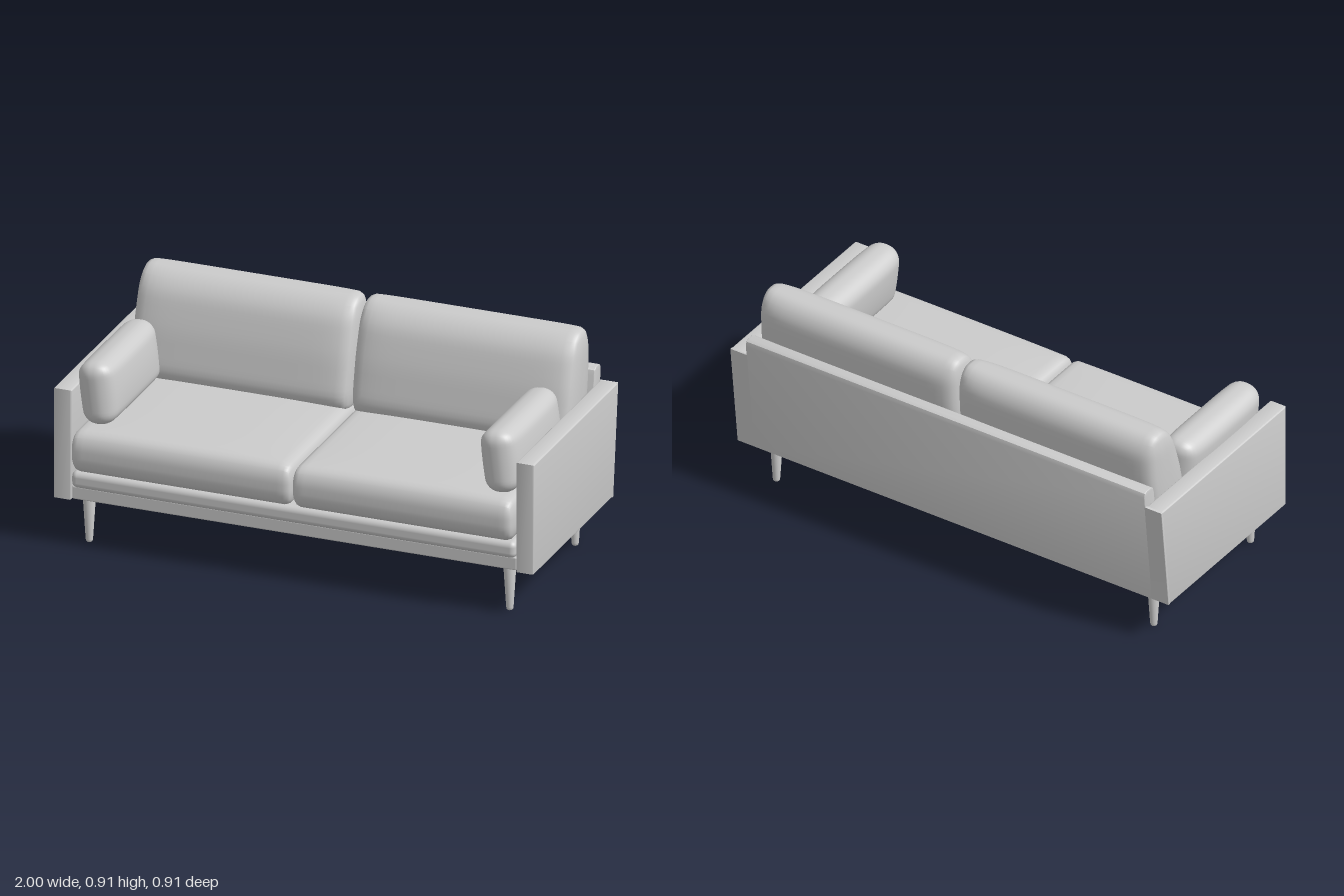
import * as THREE from 'three';
import { mergeVertices, toCreasedNormals } from 'three/addons/utils/BufferGeometryUtils.js';
import { RoundedBoxGeometry } from 'three/addons/geometries/RoundedBoxGeometry.js';

const material = new THREE.MeshStandardMaterial({ color: 0xcccccc });

function add(parent, name, geometry, x = 0, y = 0, z = 0) {
  const mesh = new THREE.Mesh(geometry, material);
  mesh.name = name;
  mesh.position.set(x, y, z);
  parent.add(mesh);
  return mesh;
}

// Soft box with its own edge radius per axis; shape(p, t) then bends each
// point, where t runs from -1 to 1 on every axis.
function cushion(size, radius, shape) {
  const n = 24;
  let g = new THREE.BoxGeometry(2, 2, 2, n, n, n);
  g.deleteAttribute('normal');
  g.deleteAttribute('uv');
  g = mergeVertices(g);
  const half = size.clone().multiplyScalar(0.5);
  const inner = half.clone().sub(radius);
  const pos = g.attributes.position;
  const p = new THREE.Vector3(), core = new THREE.Vector3(), t = new THREE.Vector3();
  const crowd = v => Math.sign(v) * (1 - (1 - Math.abs(v)) ** 1.9);
  for (let i = 0; i < pos.count; i++) {
    p.fromBufferAttribute(pos, i);
    p.set(crowd(p.x), crowd(p.y), crowd(p.z)).multiply(half);
    core.copy(p).clamp(inner.clone().negate(), inner);
    p.sub(core).divide(radius).normalize().multiply(radius).add(core);
    t.copy(p).divide(half);
    shape(p, t);
    pos.setXYZ(i, p.x, p.y, p.z);
  }
  g.computeVertexNormals();
  return g;
}

// Side profile of [z, y] points, extruded along x and centred there.
function sidePanel(points, width, bevel) {
  const outline = new THREE.Shape(points.map(([z, y]) => new THREE.Vector2(z, y)));
  const g = new THREE.ExtrudeGeometry(outline, {
    depth: width - 2 * bevel, bevelEnabled: true, bevelThickness: bevel,
    bevelSize: bevel, bevelOffset: -bevel, bevelSegments: 3
  });
  g.translate(0, 0, bevel - width / 2);
  g.rotateY(-Math.PI / 2);
  return toCreasedNormals(g, 0.6);
}

export function createModel() {
  const sofa = new THREE.Group();
  sofa.name = 'sofa';
  const V = (x, y, z) => new THREE.Vector3(x, y, z);

  // Base: front rail, padded front roll, deck and centre bar underneath
  add(sofa, 'frontRail', new RoundedBoxGeometry(1.85, 0.055, 0.28, 3, 0.006), 0, 0.2195, 0.268);
  add(sofa, 'frontRoll', new RoundedBoxGeometry(1.85, 0.07, 0.295, 4, 0.024), 0, 0.278, 0.2775);
  add(sofa, 'seatDeck', new THREE.BoxGeometry(1.85, 0.035, 0.55), 0, 0.2925, -0.1);
  add(sofa, 'centreBar', new THREE.BoxGeometry(0.04, 0.025, 0.5), 0, 0.265, -0.1);

  // Leaning backrest, and the full-width skin that closes the arm ends
  add(sofa, 'backPanel', sidePanel([
    [-0.335, 0.19], [-0.391, 0.69], [-0.397, 0.71], [-0.412, 0.72],
    [-0.44, 0.72], [-0.453, 0.713], [-0.458, 0.695], [-0.402, 0.19]
  ], 1.85, 0.003));
  add(sofa, 'backSkin', sidePanel([
    [-0.39, 0.19], [-0.441, 0.65], [-0.453, 0.65], [-0.402, 0.19]
  ], 2, 0.002));

  const armGeo = sidePanel([[0.415, 0.19], [0.415, 0.65], [-0.446, 0.65], [-0.395, 0.19]], 0.075, 0.006);
  const sideRailGeo = new THREE.BoxGeometry(0.045, 0.085, 0.5);

  const seatGeo = cushion(V(0.918, 0.175, 0.81), V(0.03, 0.075, 0.055), (p, t) => {
    p.y += 0.013 * Math.max(0, t.y) * (1 - t.x ** 4) * (1 - t.z ** 4);
    p.x *= 1 + 0.006 * (1 - t.y * t.y);
  });

  // Back cushions lean backwards, thin out upwards and pinch at the ends
  const backCushionGeo = cushion(V(0.912, 0.45, 0.235), V(0.026, 0.1, 0.1), (p, t) => {
    p.z *= 1 - 0.24 * Math.max(0, t.y) ** 1.3 + 0.04 * (1 - t.x ** 4);
    p.z *= 1 - (0.22 + 0.12 * t.y) * t.x ** 12;
    p.z -= 0.19 * p.y;
    p.x *= 1 + 0.012 * (1 - t.y * t.y);
  });

  const pillowGeo = cushion(V(0.138, 0.258, 0.53), V(0.062, 0.054, 0.052), (p, t) => {
    p.x *= 1 + 0.2 * (1 - t.y * t.y) * (1 - t.z ** 4);
    p.x *= 1 - 0.15 * t.z ** 8;
  });

  // Tapered round leg
  const legGeo = new THREE.LatheGeometry([
    [0, 0], [0.009, 0], [0.013, 0.004], [0.0145, 0.012], [0.026, 0.195], [0, 0.195]
  ].map(([r, y]) => new THREE.Vector2(r, y)), 20);

  for (const [side, s] of [['left', 1], ['right', -1]]) {
    add(sofa, side + 'Arm', armGeo, s * 0.9625);
    add(sofa, side + 'SideRail', sideRailGeo, s * 0.9025, 0.2335, -0.11);
    add(sofa, side + 'SeatCushion', seatGeo, s * 0.46, 0.402, 0.05);
    add(sofa, side + 'BackCushion', backCushionGeo, s * 0.46, 0.686, -0.278);
    add(sofa, side + 'FrontLeg', legGeo, s * 0.875, 0, 0.353);
    add(sofa, side + 'BackLeg', legGeo, s * 0.875, 0, -0.318);
  }

  // Both arm pillows tip the same way
  for (const [side, x, y, z] of [['left', 0.83, 0.614, 0.125], ['right', -0.848, 0.621, 0.113]]) {
    add(sofa, side + 'ArmPillow', pillowGeo, x, y, z).rotation.z = 0.12;
  }
  return sofa;
}
